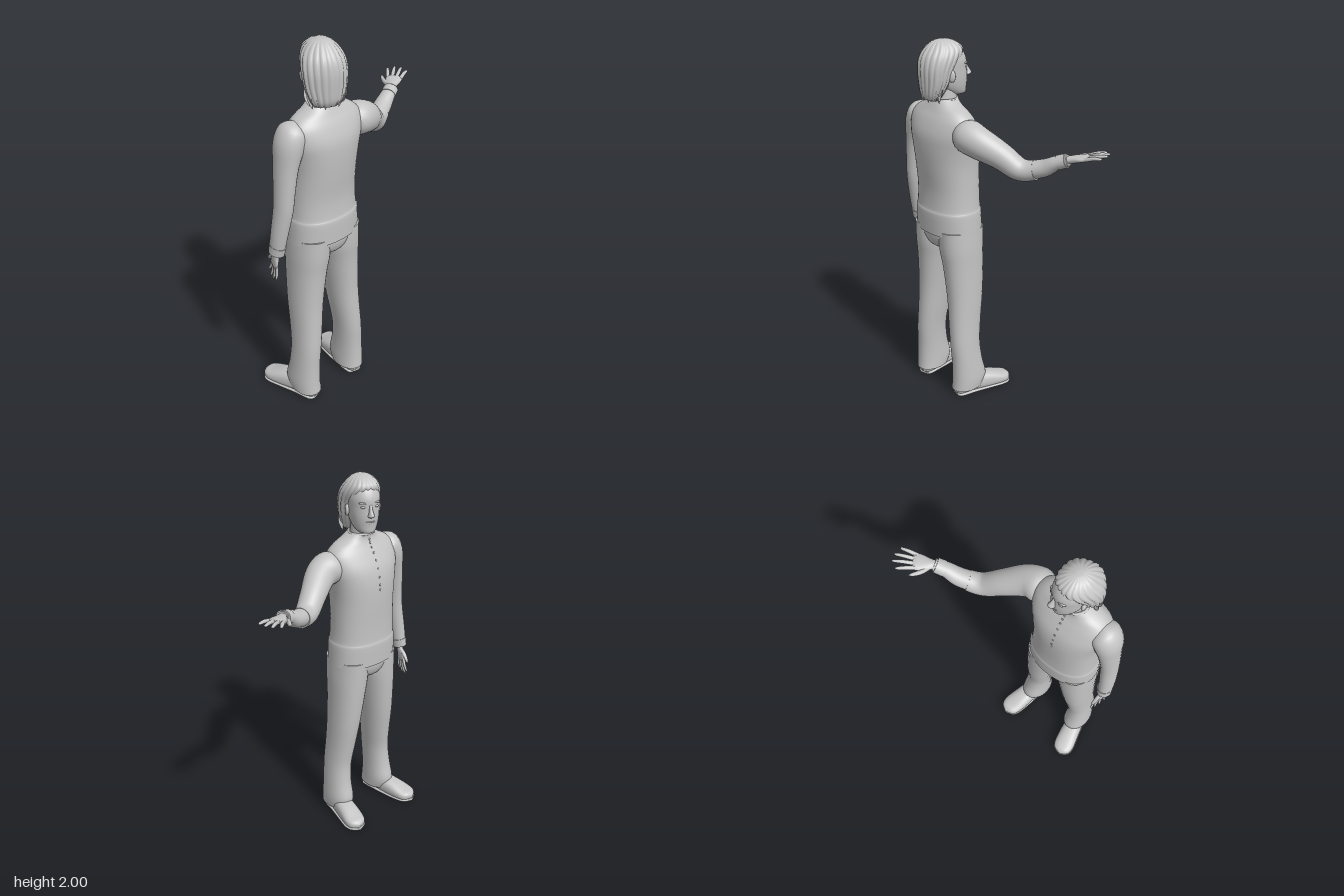
import * as THREE from 'three';

const grey = new THREE.MeshStandardMaterial({ color: 0xc4c4c4 });
grey.name = 'light grey';
const CX = -0.272; // body midline
const V = (x, y, z) => new THREE.Vector3(x, y, z);

function mesh(name, geometry, parent) {
  const m = new THREE.Mesh(geometry, grey);
  m.name = name;
  parent.add(m);
  return m;
}

// Smooth interpolation of one station list [x, y, z, halfWidth, halfDepth]
function sample(st, t) {
  const i = Math.min(Math.floor(t), st.length - 2), f = t - i;
  const at = k => st[Math.max(0, Math.min(st.length - 1, k))];
  return st[i].map((b, k) => {
    const a = at(i - 1)[k], c = at(i + 1)[k], d = at(i + 2)[k];
    return b + 0.5 * f * (c - a + f * (2 * a - 5 * b + 4 * c - d + f * (3 * (b - c) + d - a)));
  });
}

// Skin of rounded sections. Without ref the sections are horizontal, else they follow the path.
function loft(st, { ref = null, n = 28, steps = 4, pow = 1, shape = null, floor = -9 } = {}) {
  const rows = (st.length - 1) * steps, pos = [], idx = [], centres = [];
  for (let i = 0; i <= rows; i++) centres.push(sample(st, i / steps));
  const point = i => V(...centres[Math.max(0, Math.min(rows, i))].slice(0, 3));
  const curve = c => Math.sign(c) * Math.abs(c) ** pow;
  for (let i = 0; i <= rows; i++) {
    const c = point(i), a = Math.max(centres[i][3], 0.0005), b = Math.max(centres[i][4], 0.0005);
    let u = V(1, 0, 0), v = V(0, 0, -1);
    if (ref) {
      const t = point(i + 1).sub(point(i - 1)).normalize();
      u = ref.clone().addScaledVector(t, -ref.dot(t)).normalize();
      v = t.clone().cross(u);
    }
    for (let j = 0; j < n; j++) {
      const q = j / n * Math.PI * 2, s = shape ? shape(q, i / rows) : 1;
      const p = c.clone().addScaledVector(u, a * s * curve(Math.cos(q))).addScaledVector(v, b * s * curve(Math.sin(q)));
      pos.push(p.x, Math.max(p.y, floor), p.z);
    }
  }
  for (let i = 0; i < rows; i++) for (let j = 0; j < n; j++) {
    const k = (j + 1) % n, a = i * n + j, b = i * n + k;
    idx.push(a, b, b + n, a, b + n, a + n);
  }
  // flat end caps with their own corners
  for (const row of [0, rows]) {
    const c = point(row), base = pos.length / 3;
    pos.push(c.x, Math.max(c.y, floor), c.z);
    for (let j = 0; j < n; j++) pos.push(...pos.slice((row * n + j) * 3, (row * n + j) * 3 + 3));
    for (let j = 0; j < n; j++) {
      const a = base + 1 + j, b = base + 1 + (j + 1) % n;
      row ? idx.push(base, a, b) : idx.push(base, b, a);
    }
  }
  const g = new THREE.BufferGeometry();
  g.setAttribute('position', new THREE.Float32BufferAttribute(pos, 3));
  g.setIndex(idx);
  g.computeVertexNormals();
  return g;
}

function ball(name, parent, p, s) {
  const m = mesh(name, new THREE.SphereGeometry(1, 16, 10), parent);
  m.position.set(...p);
  m.scale.set(...s);
  return m;
}

// Hand along +z with the thumb toward +x
function makeHand(name, origin, dir, thumb, scale) {
  const hand = new THREE.Group(), X = V(1, 0, 0);
  hand.name = name;
  mesh('palm', loft([[0, 0, -0.03, 0.024, 0.02], [0, 0, 0.01, 0.025, 0.019], [0.003, 0, 0.05, 0.04, 0.017],
    [0, 0, 0.09, 0.044, 0.013], [0, 0, 0.106, 0.032, 0.007]], { ref: X, n: 18 }), hand);
  [0.09, 0.11, 0.104, 0.08].forEach((len, i) => {
    const x = 0.033 - i * 0.022, s = (1.5 - i) * 0.014;
    mesh('finger', loft([[x, 0, 0.085, 0.0105, 0.01], [x + s * 0.5, 0.004, 0.09 + len * 0.5, 0.01, 0.009],
      [x + s * 0.9, 0, 0.09 + len * 0.92, 0.007, 0.006], [x + s, 0, 0.09 + len, 0, 0]], { ref: X, n: 10 }), hand);
  });
  mesh('thumb', loft([[0.012, 0, 0.02, 0.013, 0.013], [0.045, -0.004, 0.055, 0.014, 0.012],
    [0.066, -0.006, 0.095, 0.01, 0.009], [0.074, -0.006, 0.118, 0, 0]], { ref: V(0, 1, 0), n: 10 }), hand);
  const z = dir.clone().normalize(), x = thumb.clone().addScaledVector(z, -thumb.dot(z)).normalize();
  hand.quaternion.setFromRotationMatrix(new THREE.Matrix4().makeBasis(x, z.clone().cross(x), z));
  hand.position.copy(origin);
  hand.scale.setScalar(scale);
  return hand;
}

function makeHead() {
  // Built facing +z around its own axis, then turned
  const head = new THREE.Group();
  head.name = 'head';
  mesh('face', loft([[0, 1.712, 0.055, 0.02, 0.03], [0, 1.722, 0.05, 0.046, 0.056], [0, 1.755, 0.03, 0.066, 0.08],
    [0, 1.8, 0.015, 0.077, 0.1], [0, 1.85, 0.008, 0.082, 0.104], [0, 1.9, 0, 0.085, 0.11],
    [0, 1.95, -0.008, 0.074, 0.092], [0, 1.985, -0.01, 0.035, 0.045], [0, 1.99, -0.01, 0, 0]]), head);
  mesh('nose', loft([[0, 1.803, 0.108, 0.004, 0.006], [0, 1.81, 0.118, 0.018, 0.018], [0, 1.822, 0.12, 0.014, 0.021],
    [0, 1.845, 0.113, 0.009, 0.014], [0, 1.875, 0.105, 0.006, 0.006]], { n: 14 }), head);
  ball('upper lip', head, [0, 1.781, 0.108], [0.025, 0.005, 0.009]);
  ball('lower lip', head, [0, 1.77, 0.103], [0.021, 0.006, 0.009]);
  ball('chin', head, [0, 1.732, 0.092], [0.024, 0.017, 0.016]);
  for (const s of [-1, 1]) {
    ball('eye', head, [s * 0.034, 1.858, 0.096], [0.015, 0.007, 0.01]);
    ball('brow', head, [s * 0.036, 1.878, 0.095], [0.024, 0.006, 0.011]).rotation.y = s * 0.35;
    ball('ear', head, [s * 0.085, 1.825, 0.005], [0.011, 0.032, 0.02]).rotation.y = s * 0.4;
  }
  // Swept-back hair with combed ridges
  const ridge = (q, k) => 1 - 0.055 * Math.abs(Math.sin(q * 10 + k * 0.9)) ** 6 + 0.02 * Math.sin(q * 5);
  mesh('hair', loft([[0, 1.7, -0.078, 0.068, 0.04], [0, 1.73, -0.075, 0.086, 0.058], [0, 1.79, -0.06, 0.104, 0.08],
    [0, 1.86, -0.047, 0.111, 0.096], [0, 1.915, -0.025, 0.105, 0.108], [0, 1.955, -0.008, 0.085, 0.1],
    [0, 1.985, -0.008, 0.055, 0.066], [0, 1.998, -0.012, 0.022, 0.03], [0, 2, -0.012, 0, 0]],
  { n: 120, steps: 5, shape: ridge }), head);
  // Loose lock tips along the nape and sides
  for (let i = 0; i < 11; i++) {
    const q = (i - 5) * 0.3, x = Math.sin(q), z = -Math.cos(q);
    mesh('lock', loft([[x * 0.092, 1.8, -0.05 + z * 0.075, 0.012, 0.008], [x * 0.094, 1.75, -0.055 + z * 0.073, 0.014, 0.01],
      [x * 0.085, 1.71, -0.06 + z * 0.062, 0.008, 0.006], [x * 0.08, 1.69 + 0.008 * (i % 3), -0.06 + z * 0.06, 0, 0]], { n: 8 }), head);
  }
  head.position.set(-0.27, 0, 0.09);
  head.rotation.y = Math.PI - 0.35;
  return head;
}

export function createModel() {
  const model = new THREE.Group(), X = V(1, 0, 0), Y = V(0, 1, 0);
  model.name = 'standing man';
  model.add(makeHead());
  mesh('neck', loft([[-0.27, 1.64, 0.1, 0.066, 0.062], [-0.27, 1.71, 0.092, 0.06, 0.06], [-0.27, 1.79, 0.085, 0.056, 0.058]]), model);

  // Long shirt
  mesh('shirt', loft([[CX, 0.975, 0.085, 0.2, 0.143], [CX, 1.09, 0.085, 0.195, 0.145], [CX, 1.12, 0.084, 0.188, 0.139],
    [CX, 1.22, 0.083, 0.183, 0.137], [CX, 1.35, 0.088, 0.183, 0.145], [CX, 1.45, 0.093, 0.195, 0.147],
    [CX, 1.53, 0.1, 0.212, 0.137], [CX, 1.6, 0.106, 0.21, 0.108], [CX, 1.645, 0.107, 0.17, 0.083],
    [CX, 1.675, 0.105, 0.112, 0.07], [CX, 1.702, 0.098, 0.072, 0.064]], { n: 48, pow: 0.88 }), model);
  const collar = mesh('collar', new THREE.TorusGeometry(0.07, 0.007, 8, 32), model);
  collar.position.set(CX, 1.698, 0.098);
  collar.rotation.x = Math.PI / 2;
  collar.scale.y = 0.92;
  const front = new THREE.CatmullRomCurve3([V(CX, 1.675, 0.036), V(CX, 1.645, 0.024), V(CX, 1.6, -0.002),
    V(CX, 1.53, -0.036), V(CX, 1.45, -0.053), V(CX, 1.4, -0.055)]);
  for (let i = 0; i < 9; i++) {
    const p = front.getPoint((i + 0.5) / 9);
    ball('button', model, [p.x, p.y, p.z], [0.005, 0.007, 0.004]);
  }

  // Hanging arm
  mesh('hangingSleeve', loft([[-0.42, 1.63, 0.1, 0.01, 0.01], [-0.445, 1.6, 0.1, 0.065, 0.07], [-0.478, 1.54, 0.1, 0.074, 0.082],
    [-0.505, 1.43, 0.1, 0.056, 0.07], [-0.522, 1.3, 0.102, 0.048, 0.06], [-0.532, 1.2, 0.1, 0.045, 0.055],
    [-0.548, 1.06, 0.082, 0.041, 0.047], [-0.555, 0.955, 0.065, 0.036, 0.042]], { ref: X }), model);
  mesh('hangingCuff', loft([[-0.551, 0.995, 0.072, 0.041, 0.047], [-0.556, 0.95, 0.064, 0.038, 0.044]], { ref: X }), model);
  model.add(makeHand('hangingHand', V(-0.556, 0.945, 0.062), V(0, -1, -0.25), V(0.3, 0, -1), 0.84));

  // Raised arm
  mesh('raisedSleeve', loft([[-0.15, 1.56, 0.115, 0.03, 0.03], [-0.08, 1.545, 0.117, 0.083, 0.085], [0, 1.52, 0.105, 0.083, 0.08],
    [0.1, 1.462, 0.045, 0.069, 0.068], [0.17, 1.41, 0.005, 0.06, 0.062], [0.215, 1.4, -0.02, 0.054, 0.058],
    [0.26, 1.41, -0.042, 0.051, 0.054]], { ref: Y }), model);
  mesh('raisedForearm', loft([[0.21, 1.4, -0.018, 0.047, 0.052], [0.3, 1.426, -0.06, 0.045, 0.049],
    [0.36, 1.462, -0.08, 0.036, 0.041], [0.42, 1.487, -0.105, 0.028, 0.033]], { ref: Y }), model);
  mesh('raisedCuff', loft([[0.372, 1.468, -0.085, 0.037, 0.042], [0.412, 1.484, -0.102, 0.035, 0.04]], { ref: Y }), model);
  model.add(makeHand('raisedHand', V(0.415, 1.487, -0.105), V(0.17, 0.042, -0.11), V(-0.5, 0, -0.85), 1.04));

  // Trousers and shoes, mirrored about the body midline
  mesh('pelvis', loft([[CX, 0.865, 0.088, 0.03, 0.06], [CX, 0.9, 0.086, 0.12, 0.11], [CX, 0.95, 0.086, 0.185, 0.13], [CX, 1, 0.086, 0.19, 0.132]]), model);
  for (const s of [-1, 1]) {
    const leg = [[0.158, 0.04, 0.107, 0.07, 0.095], [0.16, 0.1, 0.093, 0.072, 0.105], [0.157, 0.2, 0.103, 0.068, 0.093],
      [0.149, 0.32, 0.11, 0.067, 0.09], [0.137, 0.45, 0.1, 0.072, 0.096], [0.126, 0.6, 0.087, 0.08, 0.105],
      [0.111, 0.78, 0.083, 0.091, 0.117], [0.101, 0.89, 0.086, 0.1, 0.126], [0.098, 1, 0.086, 0.098, 0.13]];
    mesh('trouserLeg', loft(leg.map(([x, ...r]) => [CX + s * x, ...r]), { pow: 0.92 }), model);
    const shoe = [[0.15, 0.05, 0.182, 0.012, 0.02], [0.152, 0.05, 0.17, 0.042, 0.05], [0.165, 0.055, 0.08, 0.05, 0.055],
      [0.185, 0.045, -0.02, 0.058, 0.05], [0.204, 0.034, -0.1, 0.06, 0.034], [0.212, 0.03, -0.14, 0.044, 0.026],
      [0.215, 0.028, -0.16, 0.004, 0.008]];
    mesh('shoe', loft(shoe.map(([x, ...r]) => [CX + s * x, ...r]), { ref: X, pow: 0.8, floor: 0.01 }), model);
    const sole = shoe.map(([x, y, z, a]) => [CX + s * x, 0.01, z, a + 0.003, 0.01]);
    mesh('sole', loft(sole, { ref: X, pow: 0.6, floor: 0 }), model);
  }
  return model;
}
